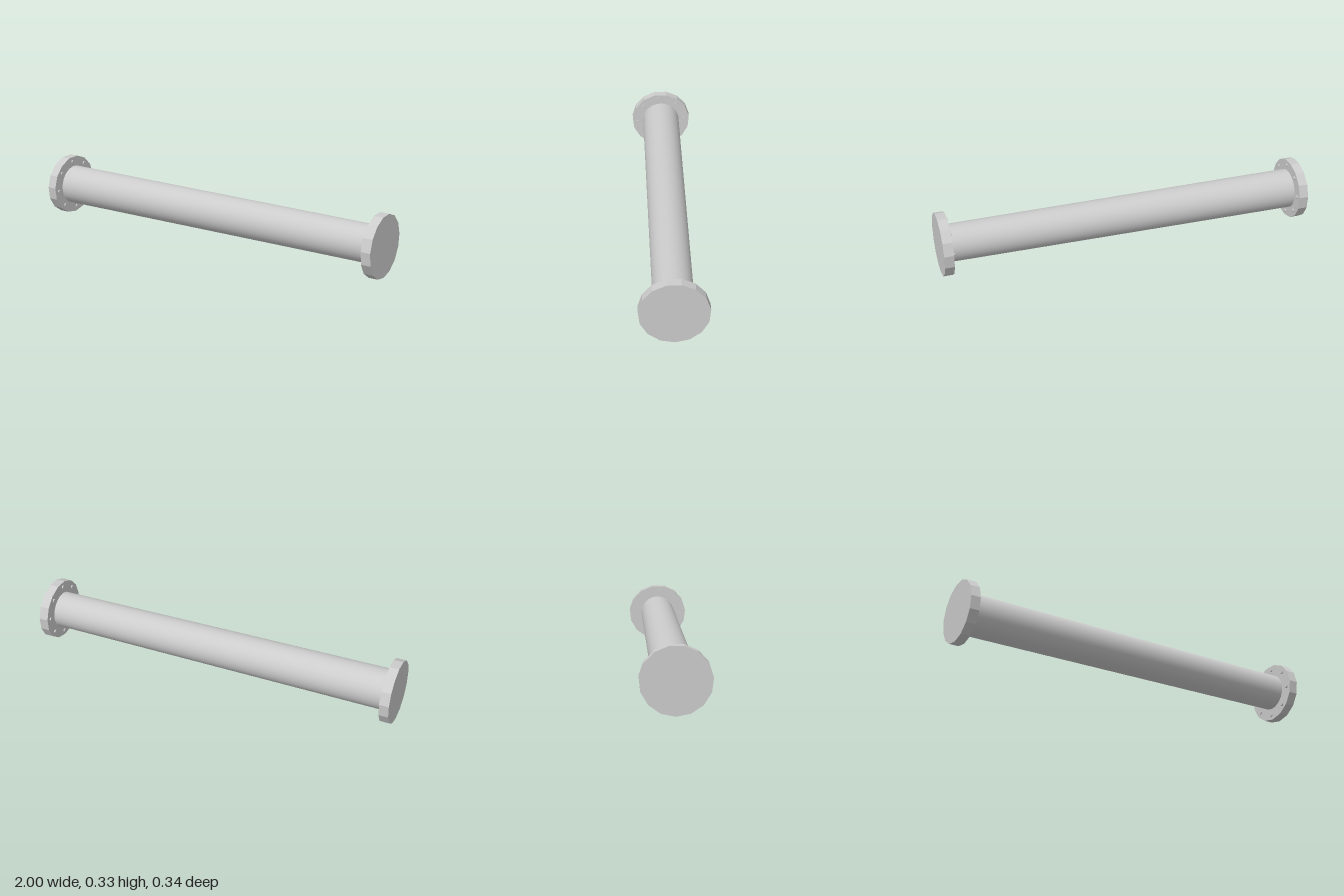
import * as THREE from 'three';

const CENTER_Y = 0.165;
const HALF = 1;
const FLANGE = 0.05;

// Cylinder lying along x; r1 is the radius at its +x end
function rodX(r0, r1, length, sides, start = 0) {
  return new THREE.CylinderGeometry(r1, r0, length, sides, 1, false, start).rotateZ(-Math.PI / 2);
}

export function createModel() {
  const model = new THREE.Group();
  const smooth = new THREE.MeshStandardMaterial({ color: 0xcccccc });
  const faceted = new THREE.MeshStandardMaterial({ color: 0xcccccc, flatShading: true });

  const add = (parent, name, geometry, material, x, y = 0, z = 0) => {
    const mesh = new THREE.Mesh(geometry, material);
    mesh.name = name;
    mesh.position.set(x, y, z);
    parent.add(mesh);
    return mesh;
  };

  // Slightly tapered pipe, wider at the -x end
  add(model, 'pipe', rodX(0.107, 0.098, 2 * (HALF - FLANGE / 2), 40), smooth, 0, CENTER_Y);

  // Fifteen-sided end plates with a corner at the bottom, a touch wider than tall
  const plate = rodX(0.17, 0.17, FLANGE, 15, Math.PI / 2).rotateX(0.013).scale(1, 0.966, 1);
  const bolt = rodX(0.01, 0.01, 0.014, 8);

  for (const side of [-1, 1]) {
    const flange = new THREE.Group();
    flange.name = side < 0 ? 'rightFlange' : 'leftFlange';
    flange.position.set(0, CENTER_Y, 0);
    model.add(flange);
    add(flange, 'endPlate', plate, faceted, side * (HALF - FLANGE / 2));

    // Ring of bolt heads on the inner face
    for (let i = 0; i < 8; i++) {
      const a = (i * Math.PI) / 4 - 0.08;
      add(flange, 'bolt', bolt, faceted, side * (HALF - FLANGE), 0.136 * Math.sin(a), 0.138 * Math.cos(a));
    }
  }
  return model;
}
